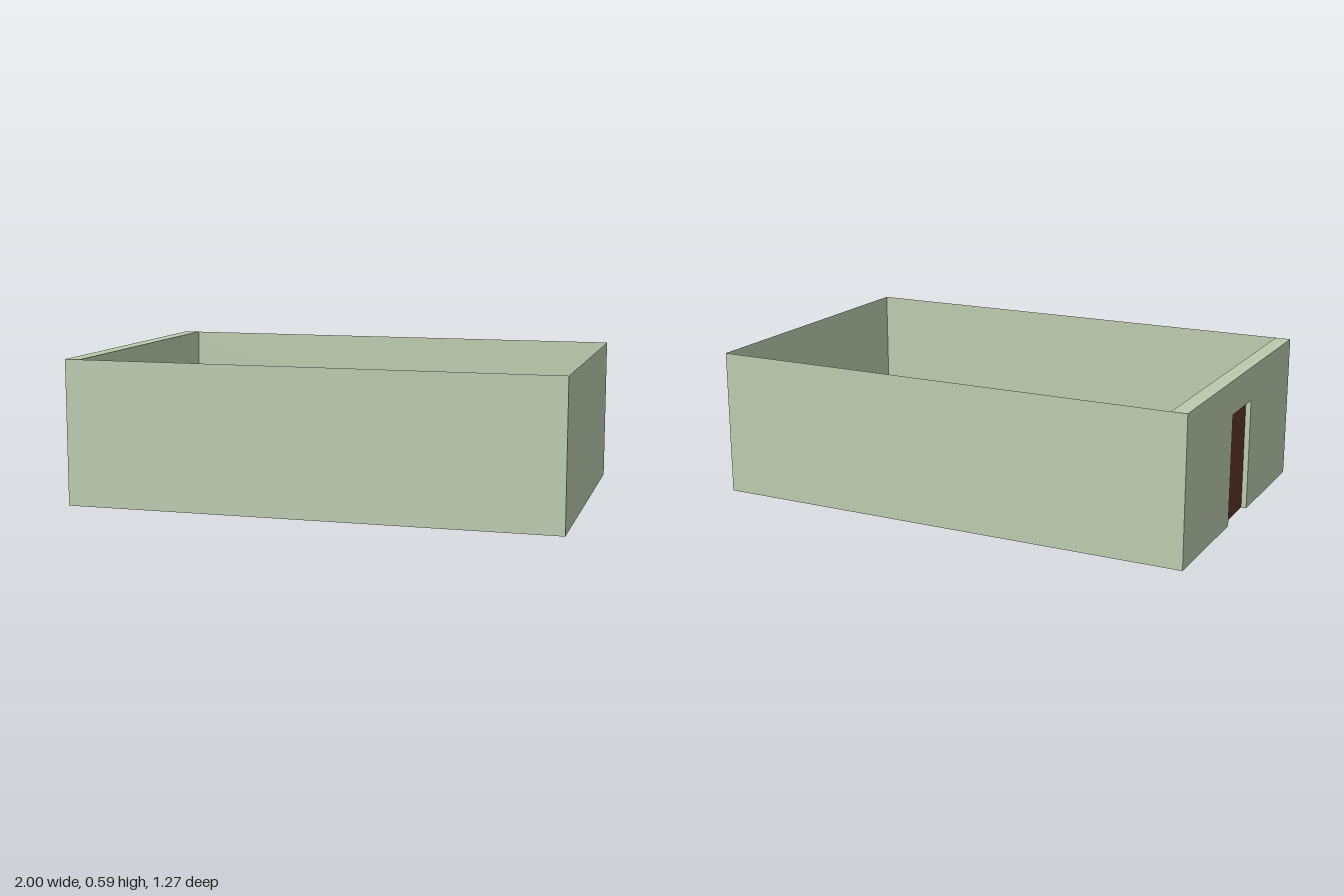
import * as THREE from 'three';

const mat = (color, side = THREE.FrontSide) => new THREE.MeshStandardMaterial({ color, side });
const wallMat = mat(0xbccaae, THREE.DoubleSide);
const doorMat = mat(0x5c3629);
const panelMat = mat(0x54301f);
const brassMat = mat(0xc08a3c);
const stoneMat = mat(0x9a9cb0);
const shaftMat = mat(0xa8a9bc);
const capMat = mat(0xb4b4b8);

const W = 1, D = 0.635, H = 0.594; // half width, half depth, wall height
const INNER = -0.937;              // inner face of the thick wall
const DOOR_Z = -0.003;             // middle of the doorway

function add(parent, name, geometry, material, x = 0, y = 0, z = 0) {
  const mesh = new THREE.Mesh(geometry, material);
  mesh.name = name;
  mesh.position.set(x, y, z);
  parent.add(mesh);
  return mesh;
}

const box = (parent, name, m, sx, sy, sz, x, y, z) =>
  add(parent, name, new THREE.BoxGeometry(sx, sy, sz), m, x, y, z);

// Upside-down U standing in the z-y plane, extruded along +x
function archway(left, right, top, openLeft, openRight, openTop, depth) {
  const pts = [[left, 0], [openLeft, 0], [openLeft, openTop], [openRight, openTop],
    [openRight, 0], [right, 0], [right, top], [left, top]];
  const shape = new THREE.Shape(pts.map(([u, v]) => new THREE.Vector2(u, v)));
  return new THREE.ExtrudeGeometry(shape, { depth, bevelEnabled: false }).rotateY(Math.PI / 2);
}

function createWalls() {
  const walls = new THREE.Group();
  walls.name = 'walls';
  const c = -DOOR_Z, half = 0.114;
  // Thin sheet walls
  for (const s of [1, -1]) {
    const wall = add(walls, s > 0 ? 'frontWall' : 'backWall',
      new THREE.PlaneGeometry(2 * W, H), wallMat, 0, H / 2, s * D);
    if (s < 0) wall.rotation.y = Math.PI;
  }
  add(walls, 'leftWall', new THREE.PlaneGeometry(2 * D, H), wallMat, W, H / 2, 0)
    .rotation.y = Math.PI / 2;
  // Thick wall with a doorway, and the casing around it
  add(walls, 'doorWall', archway(-D, D, H, c - half, c + half, 0.455, W + INNER), wallMat, -W);
  add(walls, 'doorCasing',
    archway(c - 0.129, c + 0.129, 0.473, c - half, c + half, 0.455, 0.008), wallMat, INNER);
  return walls;
}

function createDoor() {
  const door = new THREE.Group();
  door.name = 'door';
  const face = 0.011;
  box(door, 'doorLeaf', doorMat, 2 * face, 0.453, 0.228, 0, 0.2275, 0);
  // Raised panels, two tall above and two short below
  for (const s of [1, -1]) {
    box(door, 'upperPanel', panelMat, 0.006, 0.17, 0.07, face, 0.33, s * 0.052);
    box(door, 'lowerPanel', panelMat, 0.006, 0.12, 0.07, face, 0.115, s * 0.052);
  }
  // Handle plate with a round knob
  const handle = new THREE.Group();
  handle.name = 'doorHandle';
  handle.position.set(face, 0.21, -0.088);
  box(handle, 'handlePlate', brassMat, 0.006, 0.05, 0.016, 0.003, 0, 0);
  add(handle, 'knobStem', new THREE.CylinderGeometry(0.004, 0.004, 0.014, 12).rotateZ(Math.PI / 2),
    brassMat, 0.01, 0.008, 0);
  add(handle, 'knob', new THREE.SphereGeometry(0.009, 16, 12), brassMat, 0.02, 0.008, 0);
  door.add(handle);
  door.position.set(-0.968, 0, DOOR_Z);
  return door;
}

function createPedestal(z) {
  const pedestal = new THREE.Group();
  pedestal.name = 'pedestal';
  box(pedestal, 'basePlate', stoneMat, 0.09, 0.012, 0.09, 0, 0.006, 0);
  add(pedestal, 'shaft', new THREE.CylinderGeometry(0.021, 0.021, 0.196, 32), shaftMat, 0, 0.109, 0);
  box(pedestal, 'topPlate', stoneMat, 0.09, 0.012, 0.09, 0, 0.211, 0);
  add(pedestal, 'topDisc', new THREE.CylinderGeometry(0.026, 0.027, 0.006, 32), capMat, 0, 0.22, 0);
  pedestal.position.set(-0.552, 0, z);
  return pedestal;
}

export function createModel() {
  const model = new THREE.Group();
  model.name = 'room';
  model.add(createWalls(), createDoor());
  for (const z of [-0.337, 0.313]) model.add(createPedestal(z));
  return model;
}
